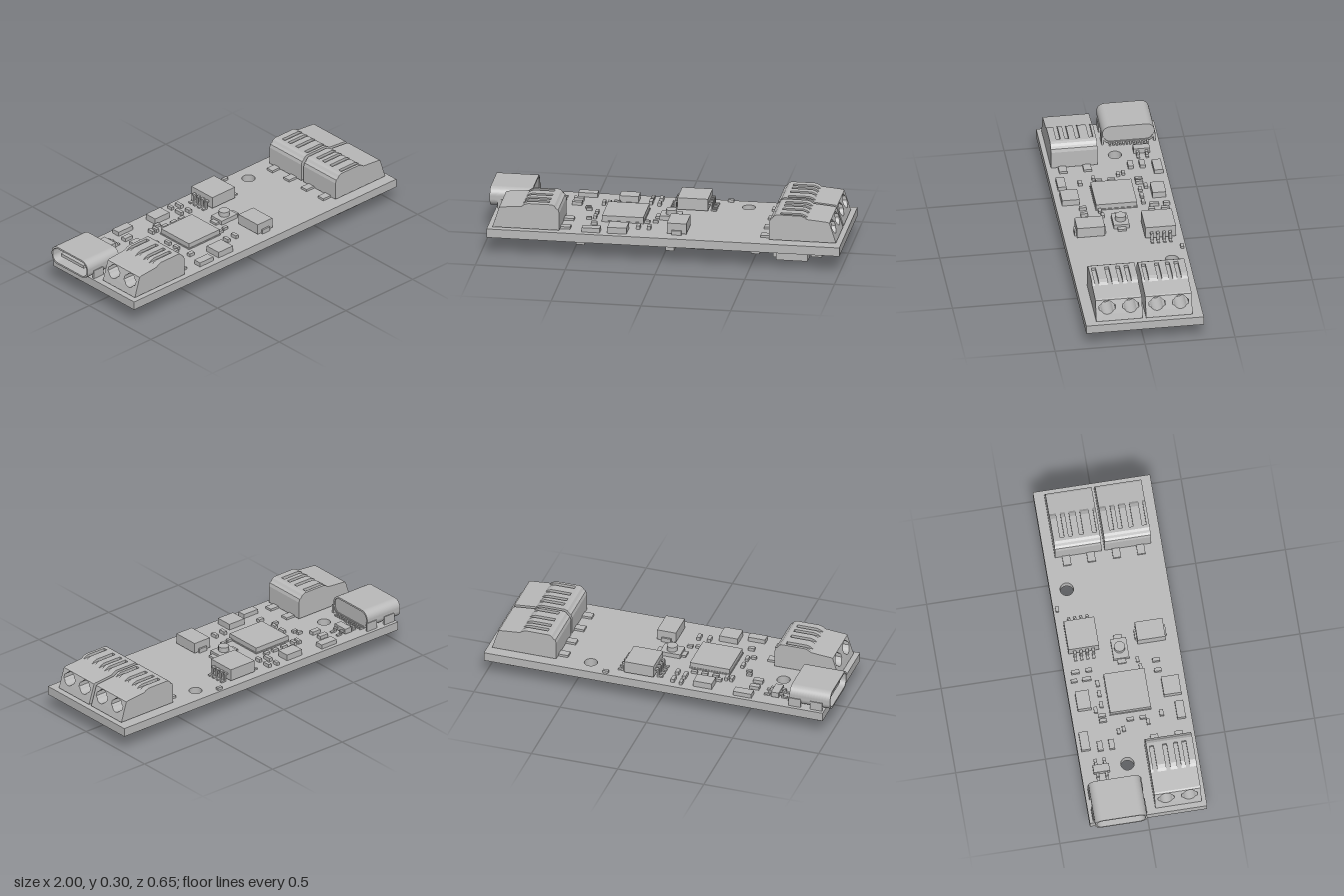
import * as THREE from 'three';

const TOP = 0.15, BOTTOM = 0.1;

export function createModel() {
  const model = new THREE.Group();
  model.name = 'circuitBoard';
  const grey = new THREE.MeshStandardMaterial({ color: 0xbababa });
  grey.name = 'grey';

  const add = (name, geometry, parent = model) => {
    const mesh = new THREE.Mesh(geometry, grey);
    mesh.name = name;
    parent.add(mesh);
    return mesh;
  };
  // Box given by its limits
  const block = (name, x0, x1, y0, y1, z0, z1, parent) => {
    const g = new THREE.BoxGeometry(x1 - x0, y1 - y0, z1 - z0);
    g.translate((x0 + x1) / 2, (y0 + y1) / 2, (z0 + z1) / 2);
    return add(name, g, parent);
  };
  const polygon = pts => new THREE.Shape(pts.map(p => new THREE.Vector2(...p)));
  const extrude = (shape, depth, curveSegments = 12) =>
    new THREE.ExtrudeGeometry(shape, { depth, bevelEnabled: false, curveSegments });
  // Side profile (x, y) swept between two z values
  const sweep = (name, pts, z0, z1, parent) =>
    add(name, extrude(polygon(pts), z1 - z0).translate(0, 0, z0), parent);

  // Board with two mounting holes
  const boardShape = polygon([[-0.965, -0.327], [1, -0.327], [1, 0.327], [-0.965, 0.327]]);
  for (const [x, z] of [[0.41, -0.233], [-0.652, -0.067]]) {
    boardShape.holes.push(new THREE.Path().absarc(x, -z, 0.037, 0, Math.PI * 2, true));
  }
  add('board', extrude(boardShape, TOP - BOTTOM, 24).rotateX(-Math.PI / 2).translate(0, BOTTOM, 0));

  // Two-pole wire terminal, wire entries facing +x
  const noseFront = y => 0.972 - Math.max(0, y - 0.16) * 0.33;
  function terminal() {
    const group = new THREE.Group();
    group.name = 'wireTerminal';
    const half = 0.129;
    sweep('terminalBody', [[0.6, 0.155], [0.84, 0.155], [0.84, 0.27], [noseFront(0.27), 0.27],
      [0.925, 0.274], [0.79, 0.286], [0.625, 0.286], [0.606, 0.274], [0.6, 0.255]], -half, half, group);
    // Sloping nose with round, slotted wire entries
    const face = polygon([[-half, 0.155], [half, 0.155], [half, 0.27], [-half, 0.27]]);
    for (const c of [-0.065, 0.065]) {
      const pts = [];
      for (let i = 0; i < 32; i++) {
        const a = -(i + 0.5) / 32 * Math.PI * 2;
        const y = 0.0375 * Math.sin(a);
        const x = Math.abs(y) < 0.015 ? 0.045 * Math.sign(Math.cos(a)) : 0.0375 * Math.cos(a);
        pts.push(new THREE.Vector2(c + x, 0.229 + y));
      }
      face.holes.push(new THREE.Path(pts));
    }
    const nose = extrude(face, 0.1).rotateY(Math.PI / 2).translate(0.84, 0, 0);
    const p = nose.attributes.position;
    for (let i = 0; i < p.count; i++) if (p.getX(i) > 0.9) p.setX(i, noseFront(p.getY(i)));
    nose.computeVertexNormals();
    add('terminalNose', nose, group);
    // Ribs on top with four release slots between them
    sweep('terminalCap', [[0.618, 0.284], [0.66, 0.284], [0.66, 0.302], [0.642, 0.302], [0.628, 0.296]],
      -half, half, group);
    for (const [a, b] of [[0, 0.016], [0.039, 0.089], [0.112, 0.15], [0.172, 0.197], [0.22, 0.258]]) {
      sweep('terminalRib', [[0.66, 0.284], [0.81, 0.284], [0.795, 0.295], [0.775, 0.302], [0.66, 0.302]],
        half - b, half - a, group);
    }
    for (const z of [-0.068, 0.068]) {
      block('terminalPin', 0.545, 0.61, TOP, 0.163, z - 0.022, z + 0.022, group);
      block('terminalFoot', 0.85, 0.95, TOP, 0.156, z - 0.03, z + 0.03, group);
    }
    model.add(group);
    return group;
  }
  terminal().position.z = -0.139;
  terminal().position.z = 0.138;
  const leftTerminal = terminal();
  leftTerminal.rotation.y = Math.PI;
  leftTerminal.position.set(0.036, 0, 0.172);

  // Cable socket: rounded shell, open toward -x
  const rounded = (T, w, h, r) => {
    const s = new T();
    s.absarc(w - r, h - r, r, 0, Math.PI / 2);
    s.absarc(r - w, h - r, r, Math.PI / 2, Math.PI);
    s.absarc(r - w, r - h, r, Math.PI, Math.PI * 1.5);
    s.absarc(w - r, r - h, r, Math.PI * 1.5, Math.PI * 2);
    s.closePath();
    return s;
  };
  const shell = rounded(THREE.Shape, 0.145, 0.054, 0.045);
  shell.holes.push(rounded(THREE.Path, 0.135, 0.044, 0.036));
  const place = (g, x) => g.rotateY(Math.PI / 2).translate(x, 0.208, -0.158);
  add('socketShell', place(extrude(shell, 0.235), -1));
  add('socketBack', place(extrude(rounded(THREE.Shape, 0.136, 0.045, 0.036), 0.07), -0.84));
  block('socketTongue', -0.98, -0.83, 0.199, 0.217, -0.25, -0.066);
  for (let i = 0; i < 12; i++) {
    const z = -0.262 + i * 0.019;
    block('socketPin', -0.775, -0.743, TOP, 0.16, z - 0.005, z + 0.005);
  }
  for (const z of [-0.302, -0.014]) for (const x of [-0.92, -0.795]) {
    block('socketTab', x - 0.035, x + 0.035, TOP, 0.2, z - 0.006, z + 0.006);
  }

  // Chip with a row of bent leads along both x sides
  function leadedChip(name, x, z, w, d, base, top, leads, pitch) {
    block(name, x - w / 2, x + w / 2, base, top, z - d / 2, z + d / 2);
    const mid = (base + top) / 2;
    for (const s of [-1, 1]) for (let i = 0; i < leads; i++) {
      const lz = z + (i - (leads - 1) / 2) * pitch, e = x + s * w / 2;
      const span = (a, b) => [Math.min(e + s * a, e + s * b), Math.max(e + s * a, e + s * b)];
      block('leadShoulder', ...span(-0.01, 0.02), mid - 0.005, mid + 0.005, lz - 0.008, lz + 0.008);
      block('leadDrop', ...span(0.012, 0.022), TOP, mid, lz - 0.008, lz + 0.008);
      block('leadFoot', ...span(0.015, 0.044), TOP, 0.158, lz - 0.008, lz + 0.008);
    }
  }
  leadedChip('eightLeadChip', 0.115, -0.2, 0.17, 0.17, 0.16, 0.228, 4, 0.034);
  leadedChip('smallLeadedChip', -0.665, -0.215, 0.045, 0.09, 0.155, 0.185, 2, 0.05);

  // Processor with edge pads
  block('processor', -0.355, -0.125, 0.155, 0.185, -0.115, 0.112);
  block('processorBase', -0.358, -0.122, TOP, 0.157, -0.118, 0.115);

  // Push button
  block('buttonBase', -0.045, 0.073, TOP, 0.175, -0.045, 0.042);
  block('buttonTabs', -0.07, 0.1, TOP, 0.162, -0.025, 0.022);
  add('buttonKnob', new THREE.CylinderGeometry(0.03, 0.03, 0.03, 24).translate(0.015, 0.188, -0.003));

  // Tall crystal or diode body
  block('tallBody', 0.028, 0.137, 0.155, 0.215, 0.1, 0.255);
  block('tallBodyTerminals', 0.055, 0.11, TOP, 0.175, 0.09, 0.265);

  // Small parts on the upper side: x, z, width, depth, height
  const upper = [
    [-0.49, -0.28, 0.107, 0.05, 0.025], [-0.53, -0.2, 0.055, 0.03, 0.02], [-0.53, -0.135, 0.055, 0.03, 0.02],
    [-0.255, -0.25, 0.107, 0.075, 0.035], [-0.385, -0.16, 0.018, 0.04, 0.02], [-0.355, -0.16, 0.018, 0.04, 0.02],
    [-0.317, -0.19, 0.035, 0.02, 0.015], [-0.29, -0.155, 0.035, 0.02, 0.015], [-0.225, -0.155, 0.035, 0.02, 0.015],
    [-0.165, -0.155, 0.035, 0.02, 0.015], [-0.13, -0.28, 0.018, 0.035, 0.018], [-0.08, -0.265, 0.02, 0.045, 0.02],
    [-0.13, -0.21, 0.02, 0.05, 0.02], [-0.08, -0.19, 0.02, 0.035, 0.02], [0.3, -0.305, 0.032, 0.018, 0.015],
    [-0.39, 0.27, 0.1, 0.047, 0.025], [-0.245, 0.243, 0.107, 0.097, 0.035], [-0.14, 0.185, 0.02, 0.04, 0.02],
    [-0.08, 0.185, 0.02, 0.04, 0.02], [-0.105, 0.095, 0.03, 0.018, 0.015], [-0.06, 0.085, 0.03, 0.018, 0.015],
    [-0.4, -0.01, 0.018, 0.04, 0.018], [-0.4, 0.06, 0.018, 0.035, 0.018], [-0.46, -0.085, 0.03, 0.018, 0.015],
    [-0.45, -0.055, 0.03, 0.018, 0.015], [-0.43, 0.085, 0.03, 0.018, 0.015], [-0.39, 0.165, 0.035, 0.022, 0.018],
  ];
  for (const [x, z, w, d, h] of upper) {
    block('smallPart', x - w / 2, x + w / 2, TOP, TOP + h, z - d / 2, z + d / 2);
  }

  // Tall parts under the board
  block('largeCapacitor', 0.6, 0.735, 0.004, BOTTOM, 0.002, 0.13);
  block('largeCapacitor', 0.13, 0.26, 0, BOTTOM, -0.063, 0.067);
  block('lowerInductor', 0.635, 0.81, 0.028, BOTTOM, 0.155, 0.24);

  // Three-lead transistors under the board
  const transistors = [[0.88, -0.17], [0.7, -0.17], [0.52, 0.2], [0.06, -0.13], [0.045, -0.21],
    [-0.455, 0.205], [-0.264, 0.165], [-0.645, 0.08], [0.047, 0.225]];
  for (const [x, z] of transistors) {
    block('transistor', x - 0.024, x + 0.024, 0.058, 0.093, z - 0.043, z + 0.043);
    for (const [s, dz] of [[1, 0], [-1, -0.028], [-1, 0.028]]) {
      block('transistorLead', x + s * 0.033 - 0.01, x + s * 0.033 + 0.01, 0.08, BOTTOM, z + dz - 0.008, z + dz + 0.008);
    }
  }

  // Flat parts under the board: x, z, width, depth, height
  const lower = [
    [0.875, 0.02, 0.05, 0.06, 0.04], [0.87, 0.29, 0.06, 0.035, 0.018], [0.855, -0.285, 0.05, 0.04, 0.016],
    [0.655, -0.26, 0.05, 0.035, 0.016], [0.34, 0.06, 0.042, 0.06, 0.036], [0.34, -0.02, 0.042, 0.04, 0.036],
    [-0.155, 0.2, 0.11, 0.09, 0.02], [-0.3, -0.14, 0.035, 0.025, 0.015], [-0.207, -0.24, 0.035, 0.025, 0.015],
    [-0.843, 0.03, 0.04, 0.025, 0.015], [-0.827, -0.1, 0.05, 0.04, 0.016], [-0.92, -0.16, 0.04, 0.03, 0.025],
    [-0.93, -0.285, 0.03, 0.04, 0.016], [0.78, -0.06, 0.03, 0.05, 0.02], [0.94, 0.13, 0.03, 0.05, 0.02],
  ];
  for (const [x, z, w, d, h] of lower) {
    block('lowerSmallPart', x - w / 2, x + w / 2, BOTTOM - h, BOTTOM, z - d / 2, z + d / 2);
  }
  return model;
}
